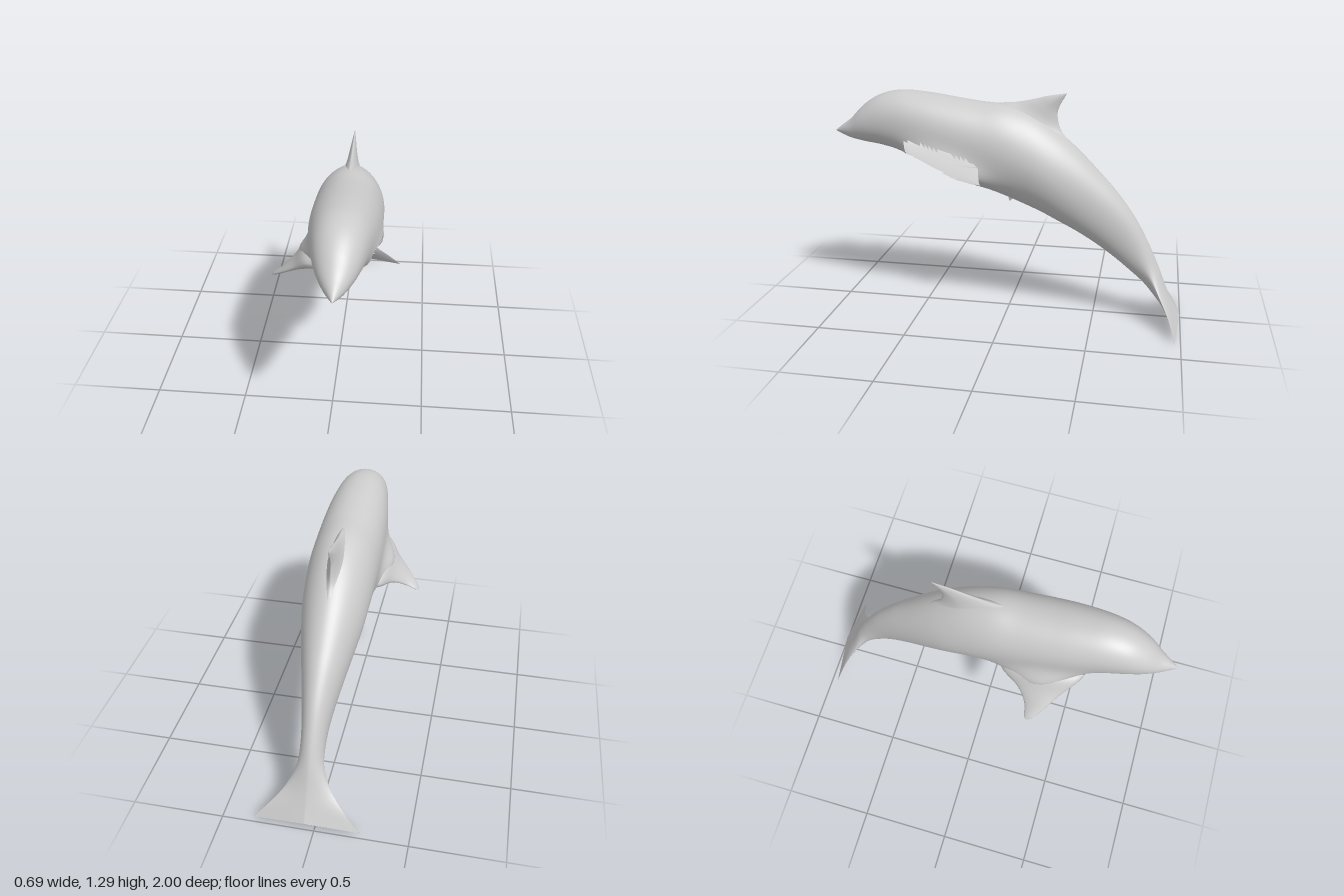
import * as THREE from 'three';
import { ConvexGeometry } from 'three/addons/geometries/ConvexGeometry.js';

const V = (x, y, z) => new THREE.Vector3(x, y, z);
const CX = 0.0525; // mid-plane of the body

// Smooth loft. Each section: top/leading point a, bottom/trailing point b,
// half-width vector w, roundness p (1 = diamond, 2 = ellipse), droop of the sides.
function loft(sections, sides, steps) {
  const curve = (f) => new THREE.CatmullRomCurve3(sections.map(f), false, 'catmullrom', 0.5);
  const ca = curve((s) => s.a), cb = curve((s) => s.b), cw = curve((s) => s.w);
  const cp = curve((s) => V(s.p, s.droop ?? 0, 0));
  const rings = (sections.length - 1) * steps;
  const pos = [], index = [];
  const power = (v, e) => Math.sign(v) * Math.abs(v) ** e;
  for (let i = 0; i <= rings; i++) {
    const t = i / rings;
    const a = ca.getPoint(t), b = cb.getPoint(t), w = cw.getPoint(t), q = cp.getPoint(t);
    const mid = a.clone().add(b).multiplyScalar(0.5);
    const half = a.clone().sub(b).multiplyScalar(0.5);
    for (let j = 0; j < sides; j++) {
      const th = (j / sides) * Math.PI * 2;
      const c = power(Math.cos(th), 2 / q.x), s = power(Math.sin(th), 2 / q.x);
      const pt = mid.clone().addScaledVector(half, s).addScaledVector(w, c);
      pt.add(V(0, -1, 0.7).multiplyScalar(q.y * Math.abs(c)));
      pos.push(pt.x, pt.y, pt.z);
      if (i < rings) {
        const k = (j + 1) % sides, r = i * sides, n = r + sides;
        index.push(r + j, n + j, r + k, n + j, n + k, r + k);
      }
    }
  }
  const g = new THREE.BufferGeometry();
  g.setAttribute('position', new THREE.Float32BufferAttribute(pos, 3));
  g.setIndex(index);
  g.computeVertexNormals();
  return g;
}

// Swells both flanks into flipper roots, then opens the left one, where the flipper is missing
function shapeFlanks(g) {
  const p = g.attributes.position;
  for (let i = 0; i < p.count; i++) {
    const dx = p.getX(i) - CX, y = p.getY(i), z = p.getZ(i);
    const dz = z - 0.32, dy = y - 0.87 - 0.27 * dz;
    const swell = 0.11 * Math.exp(-((dz / 0.2) ** 2) - (dy / 0.085) ** 2);
    p.setX(i, p.getX(i) + Math.sign(dx) * swell * Math.min(1, Math.abs(dx) / 0.1));
  }
  const old = g.index.array, kept = [];
  for (let i = 0; i < old.length; i += 3) {
    const tri = [old[i], old[i + 1], old[i + 2]];
    const mean = (axis) => tri.reduce((sum, v) => sum + p.getComponent(v, axis), 0) / 3;
    const dz = mean(2) - 0.34, dy = mean(1) - 0.915 - 0.27 * dz;
    const open = mean(0) > CX + 0.06 && (dz / 0.22) ** 4 + (dy / 0.078) ** 4 < 1;
    if (!open) kept.push(...tri);
  }
  g.setIndex(kept);
  g.computeVertexNormals();
  return g;
}

export function createModel() {
  const group = new THREE.Group();
  const skin = new THREE.MeshStandardMaterial({ color: 0xcccccc, side: THREE.DoubleSide });
  const flat = new THREE.MeshStandardMaterial({ color: 0xcccccc, flatShading: true });
  const add = (name, geometry, material = skin) => {
    const mesh = new THREE.Mesh(geometry, material);
    mesh.name = name;
    group.add(mesh);
  };

  // Body from snout to tail flukes: top z, top y, bottom z, bottom y, half width, roundness, droop
  const body = [
    [1.0, 1.044, 1.0, 1.038, 0.003, 2, 0],
    [0.95, 1.082, 0.95, 1.016, 0.032, 2, 0],
    [0.9, 1.12, 0.9, 1.0, 0.06, 2, 0],
    [0.82, 1.2, 0.82, 0.985, 0.1, 2, 0],
    [0.72, 1.26, 0.72, 0.972, 0.13, 2.1, 0],
    [0.6, 1.285, 0.6, 0.943, 0.153, 2.1, 0],
    [0.45, 1.276, 0.45, 0.875, 0.175, 2.1, 0],
    [0.3, 1.255, 0.3, 0.815, 0.186, 2.1, 0],
    [0.15, 1.235, 0.15, 0.765, 0.19, 2.05, 0],
    [0.0, 1.222, 0.02, 0.715, 0.19, 1.95, 0],
    [-0.15, 1.17, -0.08, 0.672, 0.184, 1.85, 0],
    [-0.28, 1.085, -0.19, 0.625, 0.173, 1.85, 0],
    [-0.4, 0.982, -0.29, 0.575, 0.152, 1.92, 0],
    [-0.52, 0.86, -0.4, 0.518, 0.125, 2, 0],
    [-0.62, 0.75, -0.51, 0.45, 0.1, 2, 0],
    [-0.72, 0.615, -0.61, 0.378, 0.077, 2, 0],
    [-0.8, 0.47, -0.7, 0.305, 0.066, 1.9, 0],
    [-0.86, 0.34, -0.78, 0.235, 0.075, 1.6, 0],
    [-0.91, 0.215, -0.85, 0.155, 0.126, 1.3, 0],
    [-0.955, 0.12, -0.92, 0.085, 0.203, 1.15, 0.008],
    [-0.996, 0.045, -0.99, 0.036, 0.289, 1.1, 0.037],
  ].map(([az, ay, bz, by, hw, p, droop]) =>
    ({ a: V(CX, ay, az), b: V(CX, by, bz), w: V(hw, 0, 0), p, droop }));
  add('body', shapeFlanks(loft(body, 64, 6)));

  // Dorsal fin flaring into the back: leading z, y, trailing z, y, half thickness
  const dorsal = [
    [0.14, 1.13, -0.46, 0.87, 0.14],
    [0.07, 1.222, -0.37, 1.005, 0.062],
    [-0.05, 1.24, -0.3, 1.085, 0.036],
    [-0.14, 1.258, -0.276, 1.17, 0.022],
    [-0.22, 1.278, -0.287, 1.225, 0.013],
    [-0.325, 1.296, -0.322, 1.288, 0.002],
  ].map(([az, ay, bz, by, h]) => ({ a: V(CX, ay, az), b: V(CX, by, bz), w: V(h, 0, 0), p: 1.6 }));
  add('dorsalFin', loft(dorsal, 24, 5));

  // Right flipper: leading x, y, z, trailing x, y, z, half thickness
  const flipper = [
    [-0.08, 0.935, 0.55, -0.08, 0.855, 0.08, 0.07],
    [-0.135, 0.91, 0.515, -0.14, 0.835, 0.11, 0.06],
    [-0.2, 0.85, 0.45, -0.2, 0.808, 0.21, 0.032],
    [-0.27, 0.79, 0.395, -0.265, 0.762, 0.27, 0.018],
    [-0.325, 0.74, 0.345, -0.325, 0.725, 0.287, 0.01],
    [-0.345, 0.718, 0.318, -0.345, 0.715, 0.298, 0.001],
  ].map(([ax, ay, az, bx, by, bz, h]) =>
    ({ a: V(ax, ay, az), b: V(bx, by, bz), w: V(-0.5 * h, 0.85 * h, 0), p: 1.9 }));
  add('rightFlipper', loft(flipper, 24, 5));

  // Small loose fin under the belly
  add('bellyFin', new ConvexGeometry([
    V(-0.05, 0.7, 0.0), V(0.015, 0.727, 0.015), V(0.0, 0.653, 0.0), V(0.015, 0.7, -0.06), V(-0.02, 0.72, -0.06),
  ]), flat);

  return group;
}
